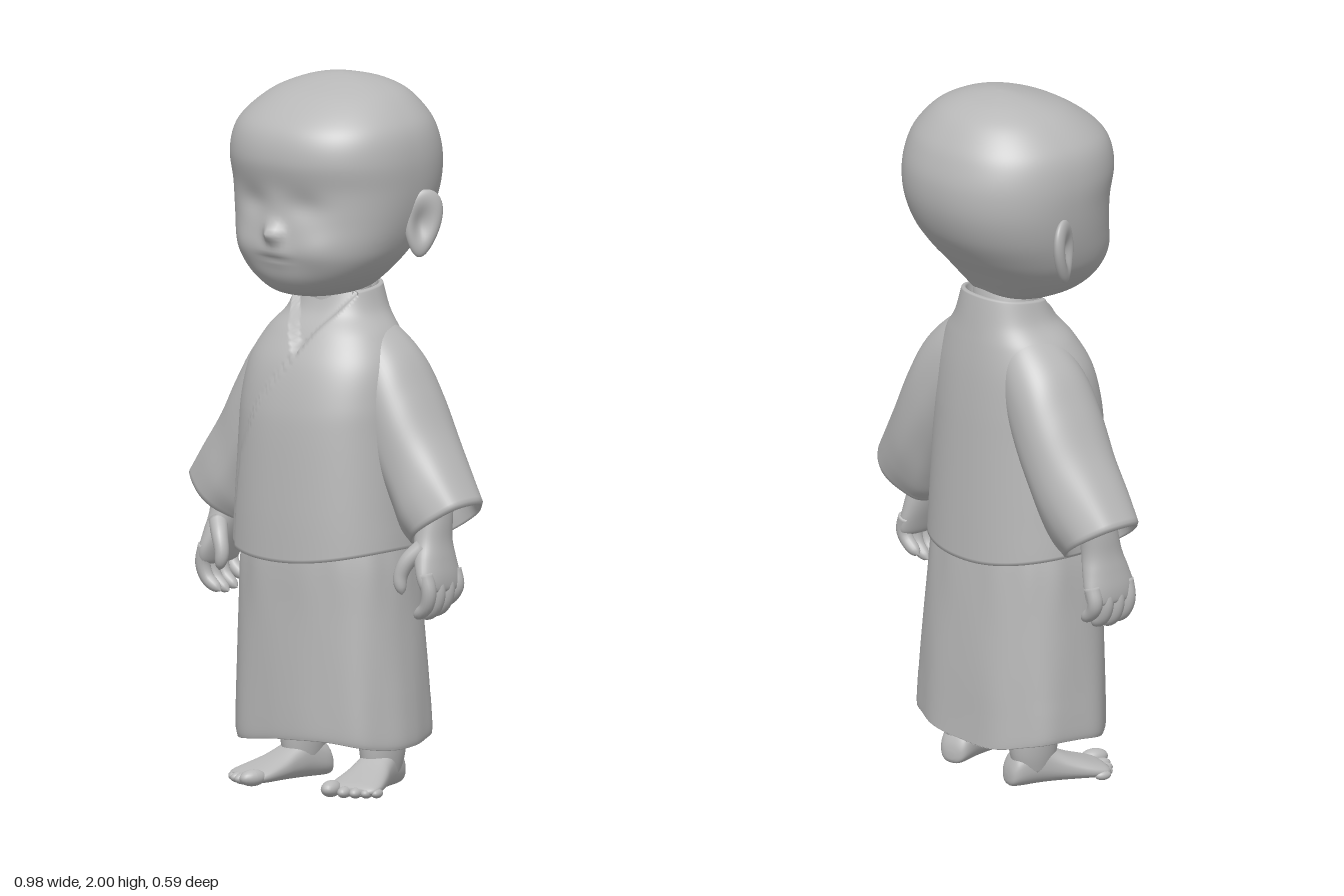
import * as THREE from 'three';
import { mergeVertices } from 'three/addons/utils/BufferGeometryUtils.js';

const clay = new THREE.MeshStandardMaterial({ color: 0xb8b8b8 });
clay.name = 'clay grey';

const V = (x, y, z) => new THREE.Vector3(x, y, z);
const step = THREE.MathUtils.smoothstep;
const bump = (u, v) => Math.exp(-u * u - v * v);

// Catmull-Rom smoothing through rows of numbers
function smooth(rows, n) {
  const out = [];
  const last = rows.length - 1;
  for (let i = 0; i < last; i++) {
    const [p, q, r, s] = [i - 1, i, i + 1, i + 2].map(k => rows[Math.min(last, Math.max(0, k))]);
    for (let j = 0; j < n; j++) {
      const t = j / n;
      out.push(q.map((_, c) => {
        const square = 2 * p[c] - 5 * q[c] + 4 * r[c] - s[c];
        const cube = 3 * (q[c] - r[c]) + s[c] - p[c];
        return q[c] + 0.5 * t * (r[c] - p[c] + t * (square + t * cube));
      }));
    }
  }
  out.push(rows[last]);
  return out;
}

// Skin over rings [centre, halfAxisA, halfAxisB], closed at both ends
function loft(rings, seg, power = 2, deform) {
  const pos = [], index = [];
  const bend = v => Math.sign(v) * Math.abs(v) ** (2 / power);
  const add = (p, a) => { if (deform) deform(p, a); pos.push(p.x, p.y, p.z); };
  for (const [c, a, b] of rings) {
    for (let j = 0; j < seg; j++) {
      const t = j / seg * Math.PI * 2;
      add(c.clone().addScaledVector(a, bend(Math.cos(t))).addScaledVector(b, bend(Math.sin(t))), t);
    }
  }
  const n = rings.length, start = n * seg;
  add(rings[0][0].clone(), 0);
  add(rings[n - 1][0].clone(), 0);
  for (let j = 0; j < seg; j++) {
    const k = (j + 1) % seg;
    for (let i = 0; i < n - 1; i++) {
      const r = i * seg, s = r + seg;
      index.push(r + j, r + k, s + j, r + k, s + k, s + j);
    }
    index.push(start, k, j, start + 1, (n - 1) * seg + j, (n - 1) * seg + k);
  }
  const g = new THREE.BufferGeometry();
  g.setAttribute('position', new THREE.Float32BufferAttribute(pos, 3));
  g.setIndex(index);
  g.computeVertexNormals();
  return g;
}

// Upright ring from [y, half width, back z, front z]
const upright = ([y, rx, zb, zf]) => [V(0, y, (zb + zf) / 2), V(0, 0, (zf - zb) / 2), V(rx, 0, 0)];

// Round tapering limb with a rounded tip
function limb(points, r0, r1, n = 16) {
  const curve = new THREE.CatmullRomCurve3(points.map(p => V(...p)));
  const f = curve.computeFrenetFrames(n);
  return loft(Array.from({ length: n + 1 }, (_, i) => {
    const t = i / n, e = Math.max(0, (t - 0.75) / 0.25);
    const r = (r0 + (r1 - r0) * t) * Math.sqrt(1.002 - e * e);
    return [curve.getPointAt(t), f.normals[i].clone().multiplyScalar(r), f.binormals[i].clone().multiplyScalar(r)];
  }), 16);
}

function mirrored(g) {
  const m = g.clone().scale(-1, 1, 1);
  const ix = m.index.array;
  for (let i = 0; i < ix.length; i += 3) [ix[i], ix[i + 1]] = [ix[i + 1], ix[i]];
  m.computeVertexNormals();
  return m;
}

export function createModel() {
  const model = new THREE.Group();
  const put = (name, g) => {
    const mesh = new THREE.Mesh(g, clay);
    mesh.name = name;
    model.add(mesh);
  };
  const pair = (name, g) => { put(name + 'Left', g); put(name + 'Right', mirrored(g)); };

  // Head with nose, eye hollows, cheeks and mouth
  const headRows = [[1.39, .01, .06, .08], [1.393, .07, -.02, .15], [1.41, .125, -.09, .2], [1.45, .18, -.125, .235],
    [1.5, .225, -.165, .25], [1.55, .25, -.21, .257], [1.62, .27, -.26, .253], [1.7, .283, -.29, .253],
    [1.78, .287, -.295, .268], [1.85, .275, -.277, .255], [1.9, .245, -.25, .215], [1.95, .19, -.205, .14],
    [1.98, .125, -.15, .06], [1.995, .06, -.09, 0], [2, .005, -.045, -.035]];
  put('head', loft(smooth(headRows, 6).map(upright), 128, 2.25, p => {
    if (p.z < .08) return;
    const ax = Math.abs(p.x);
    p.z += .042 * bump(p.x / .026, (p.y - 1.582) / .026)
      - .014 * bump((ax - .09) / .06, (p.y - 1.66) / .04)
      + .01 * bump((ax - .13) / .06, (p.y - 1.53) / .05)
      + .012 * bump(p.x / .06, (p.y - 1.525) / .03)
      - .006 * bump(p.x / .05, (p.y - 1.51) / .008);
  }));

  // Neck
  put('neck', loft([[1.25, .1, -.11, .06], [1.36, .095, -.11, .06], [1.48, .095, -.11, .06]].map(upright), 48));

  // Ears: flattened balls with a hollow outer face
  let ear = new THREE.SphereGeometry(1, 40, 32).scale(.024, .095, .055);
  const ep = ear.attributes.position;
  for (let i = 0; i < ep.count; i++) {
    const x = ep.getX(i), y = ep.getY(i), z = ep.getZ(i);
    if (x > 0) ep.setX(i, x - .028 * bump(y / .05, (z - .005) / .028));
    ep.setZ(i, z * (1 + 3 * y) - .1 * y);
  }
  ear.deleteAttribute('uv');
  ear.deleteAttribute('normal');
  ear = mergeVertices(ear, 1e-5);
  ear.rotateY(-.5).translate(.282, 1.6, -.05);
  ear.computeVertexNormals();
  pair('ear', ear);

  // Jacket body with a crossed front and an open collar
  const lapel = [[1.42, .13], [1.22, 0], [1.08, -.1], [.93, -.17], [.8, -.188], [.5, -.195]];
  const lapelX = y => {
    const i = Math.max(1, lapel.findIndex(([ly]) => y >= ly));
    const [[y0, x0], [y1, x1]] = [lapel[i - 1], lapel[i]];
    return x0 + (x1 - x0) * (y0 - y) / (y0 - y1);
  };
  const jacketRows = [[.75, .235, -.15, .18], [.68, .255, -.17, .225], [.655, .265, -.18, .24],
    ...smooth([[.655, .275, -.193, .25], [.8, .268, -.188, .247], [1, .255, -.18, .236], [1.1, .25, -.175, .222],
      [1.2, .235, -.167, .192], [1.28, .195, -.157, .148], [1.34, .145, -.147, .105], [1.4, .122, -.135, .082]], 9),
    [1.403, .115, -.128, .075], [1.4, .108, -.121, .067], [1.3, .098, -.11, .05]];
  put('jacket', loft(jacketRows.map(upright), 144, 2.3, p => {
    const { x, y } = p;
    if (p.z > .03) {
      const d = lapelX(y) - x;
      const open = step(d, 0, .012) * step(x + (y - 1.22) * .65, 0, .012) * step(y, 1.21, 1.24);
      const under = .014 * step(d, 0, .01) * Math.exp(-Math.max(d, 0) / .06);
      p.z -= Math.max(under, .03 * open);
    }
    if (y > 1.3) p.y -= .12 * p.z * step(y, 1.3, 1.4);
    if (y < .8) p.y += .035 * (x / .27) ** 2 * (1 - step(y, .66, .8));
  }));

  // Wide sleeves: rows are outer x, y, inner x, y, back z, front z
  const sleeveRows = [
    ...smooth([[.08, 1.355, .08, 1.12, -.12, .06], [.17, 1.305, .12, 1.04, -.145, .085],
      [.25, 1.235, .17, .94, -.158, .1], [.31, 1.14, .215, .86, -.16, .103], [.37, 1.03, .25, .79, -.153, .1],
      [.435, .93, .275, .74, -.138, .1], [.49, .845, .3, .715, -.122, .093]], 6),
    [.488, .832, .305, .708, -.117, .088], [.476, .832, .312, .716, -.108, .078],
    [.43, .9, .31, .78, -.1, .07], [.37, .97, .29, .84, -.08, .06]];
  pair('sleeve', loft(sleeveRows.map(([ox, oy, ix, iy, zb, zf]) =>
    [V((ox + ix) / 2, (oy + iy) / 2, (zb + zf) / 2), V(0, 0, (zf - zb) / 2), V((ix - ox) / 2, (iy - oy) / 2, 0)]), 64, 2.3,
  (p, t) => {
    // soft folds towards the cuff
    p.z += .004 * Math.sin(t * 5 + 1) * (1 - step(p.y, .8, 1.05));
  }));

  // Long skirt, open underneath, with soft folds
  const skirtRows = [[.32, .2, -.14, .15], [.2, .262, -.185, .185], [.15, .272, -.2, .197],
    ...smooth([[.142, .282, -.21, .208], [.18, .285, -.208, .211], [.34, .277, -.2, .21],
      [.5, .268, -.188, .207], [.64, .26, -.176, .204], [.74, .245, -.165, .195]], 7)];
  put('skirt', loft(skirtRows.map(upright), 112, 2.5, (p, t) => {
    const low = 1 - step(p.y, .15, .55);
    const f = 1 + .013 * low * Math.sin(9 * t + .6) + .008 * step(p.y, .45, .65) * Math.sin(13 * t);
    p.x *= f;
    p.z *= f;
    if (p.y < .25) p.y += .012 * Math.sin(3 * t + .8) * low;
  }));

  // Forearm and palm: rows are x, y, z, half width, half depth
  const palmRows = [[.4, .585, .015, .016, .06], [.4, .595, .015, .026, .078], [.393, .63, .017, .034, .083],
    [.38, .68, .015, .04, .074], [.37, .73, .01, .043, .062], [.365, .8, 0, .046, .058], [.35, .92, -.02, .05, .055]];
  pair('forearm', loft(smooth(palmRows, 5).map(([x, y, z, rx, rz]) => [V(x, y, z), V(0, 0, rz), V(rx, 0, 0)]), 40, 2.2));

  // Fingers curl inwards, thumb hangs in front
  for (let i = 0; i < 4; i++) {
    const z = .075 - i * .04, drop = [.006, 0, .006, .028][i];
    pair('finger' + (i + 1), limb([[.395, .64, z], [.408, .585 + drop * .4, z],
      [.395, .54 + drop, z * .95], [.35, .507 + drop, z * .9]], .024, .017));
  }
  pair('thumb', limb([[.37, .71, .055], [.338, .67, .085], [.322, .625, .096], [.33, .578, .098]], .027, .017));

  // Lower legs
  const legRows = [[.04, .045, -.1, .02], [.1, .057, -.117, .03], [.2, .065, -.12, .035], [.34, .075, -.12, .05]];
  pair('leg', loft(smooth(legRows, 4).map(upright), 32).translate(.142, 0, 0));

  // Feet turned slightly outwards: rows are z, half width, top and base height
  const place = g => g.rotateY(.26).translate(.138, 0, -.05);
  const footRows = [[-.075, .012, .035, .015], [-.068, .035, .065, .003], [-.045, .047, .1, 0], [.01, .05, .125, 0],
    [.06, .055, .098, 0], [.11, .066, .072, 0], [.17, .077, .05, 0], [.205, .074, .038, .002], [.222, .055, .028, .008]];
  pair('foot', place(loft(smooth(footRows, 4).map(([z, rx, top, base]) =>
    [V(0, (top + base) / 2, z), V(rx, 0, 0), V(0, (top - base) / 2, 0)]), 40, 2.4)));
  for (let i = 0; i < 5; i++) {
    const r = i ? .019 - i * .001 : .026;
    const toe = new THREE.SphereGeometry(1, 20, 14).scale(r, r * .9, r * 1.6);
    toe.translate([-.055, -.014, .018, .046, .07][i], r * .9, [.222, .224, .217, .205, .19][i]);
    pair('toe' + (i + 1), place(toe));
  }

  return model;
}
